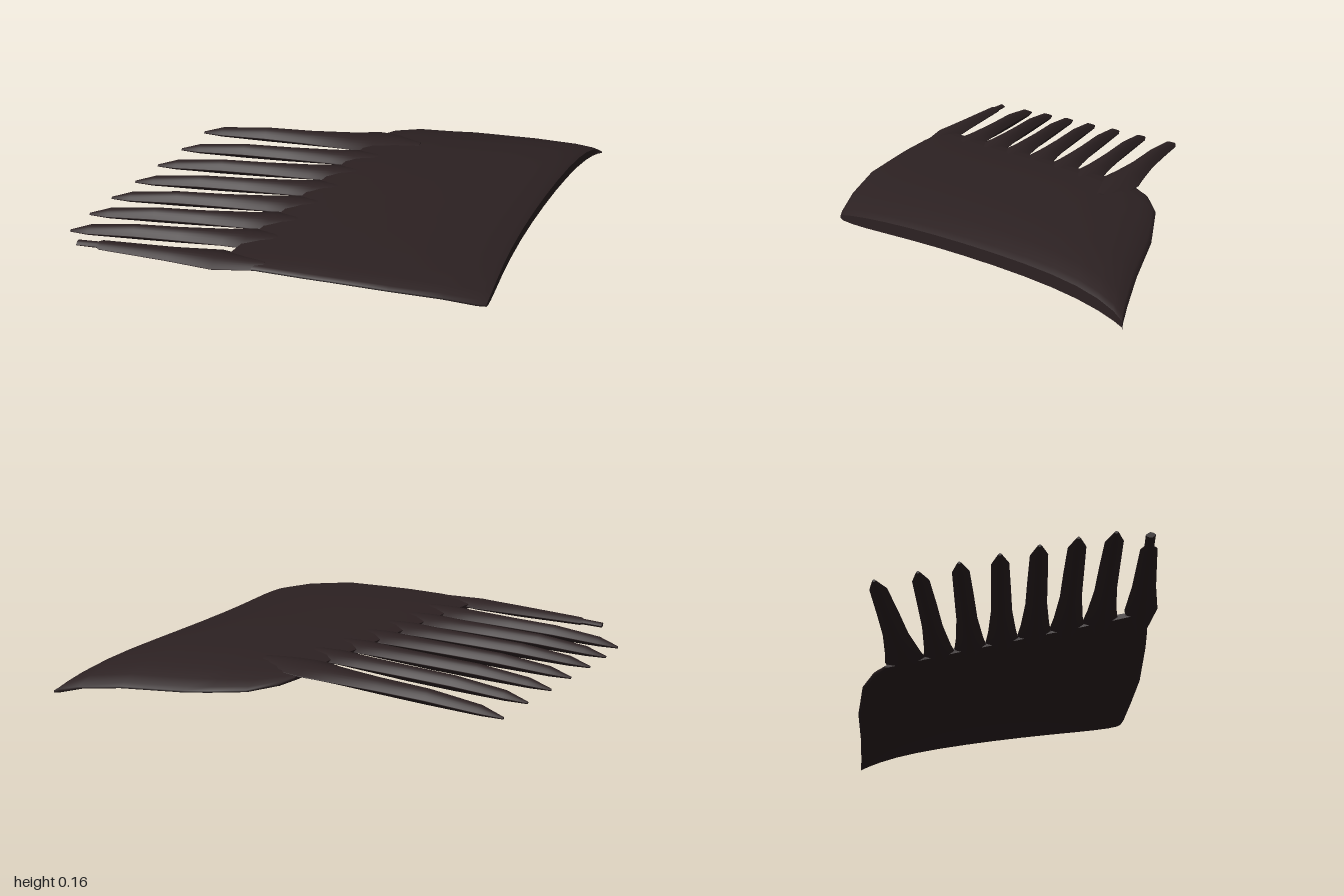
import * as THREE from 'three';

const M = 16; // points across the top (and the underside) of every ring

// closed ring: back edge to front edge over the top, then back underneath
function ring(point) {
  const top = [], under = [];
  for (let j = 0; j < M; j++) {
    const t = 0.5 - 0.5 * Math.cos((Math.PI * j) / (M - 1));
    const [x, y, z, h] = point(t);
    top.push([x, y + h, z]);
    under.unshift([x, y - h, z]);
  }
  return [...top, ...under];
}

// skin rings that run from -x to +x, with flat strips closing both ends
function loft(rings) {
  const n = 2 * M, pos = rings.flat(2), idx = [];
  for (let i = 0; i < rings.length - 1; i++)
    for (let j = 0; j < n; j++) {
      const a = i * n + j, b = i * n + ((j + 1) % n);
      idx.push(a, b, a + n, b, b + n, a + n);
    }
  [rings[0], rings[rings.length - 1]].forEach((r, end) => {
    const base = pos.length / 3;
    pos.push(...r.flat());
    for (let j = 0; j < M - 1; j++) {
      const q = [j, j + 1, n - 2 - j, n - 1 - j].map((k) => base + k);
      if (end === 0) q.reverse();
      idx.push(q[0], q[1], q[2], q[0], q[2], q[3]);
    }
  });
  const g = new THREE.BufferGeometry();
  g.setAttribute('position', new THREE.Float32BufferAttribute(pos, 3));
  g.setIndex(idx);
  g.computeVertexNormals();
  return g;
}

const lerp = THREE.MathUtils.lerp;

// spine plate stations: back x, back z, back y, front x, front z, front y, half thickness, inward bow
const PLATE = [
  [-0.11, -0.38, 0.128, -0.06, 0.785, 0.138, 0.008, 0],
  [-0.09, -0.45, 0.118, 0.0, 0.76, 0.141, 0.015, 0],
  [-0.02, -0.55, 0.1, 0.1, 0.725, 0.143, 0.02, 0],
  [0.1, -0.64, 0.085, 0.25, 0.665, 0.142, 0.021, 0],
  [0.18, -0.7, 0.078, 0.34, 0.625, 0.14, 0.021, 0],
  [0.42, -0.84, 0.06, 0.53, 0.54, 0.133, 0.022, 0.015],
  [0.58, -0.94, 0.036, 0.7, 0.435, 0.108, 0.024, 0.04],
  [0.65, -0.985, 0.017, 0.805, 0.36, 0.078, 0.027, 0.058],
  [0.67, -1.0, 0.008, 0.83, 0.335, 0.07, 0.02, 0.06],
];

function plateGeometry() {
  return loft(PLATE.map(([bx, bz, by, fx, fz, fy, half, bow]) => ring((t) => {
    const inward = bow * Math.pow(Math.sin(Math.PI * t), 0.4) * (1 - t ** 6);
    const y = lerp(fy, by, (1 - t) ** 8);
    const h = half * Math.sqrt(Math.max(0, 1 - Math.abs(2 * t - 1) ** 6)) + 0.004;
    return [lerp(bx, fx, t) - (inward || 0), y, lerp(bz, fz, t), h];
  })));
}

// tooth profile from tip to root: fraction of length, half width, half height, centre y
const TOOTH = [
  [0, 0.006, 0.004, 0.083], [0.09, 0.03, 0.02, 0.098], [0.3, 0.035, 0.031, 0.113],
  [0.5, 0.039, 0.031, 0.121], [0.7, 0.053, 0.027, 0.133], [0.8, 0.064, 0.023, 0.14],
  [0.9, 0.056, 0.021, 0.142], [1, 0.03, 0.015, 0.143],
];
// blunt end tooth
const END_TOOTH = [
  [0, 0.016, 0.01, 0.126], [0.11, 0.016, 0.012, 0.129], [0.13, 0.028, 0.016, 0.13],
  [0.5, 0.042, 0.023, 0.134], [0.75, 0.06, 0.022, 0.139], [1, 0.03, 0.015, 0.142],
];

function toothGeometry(profile, tip, root, widen) {
  return loft(profile.map(([f, w, h, y]) => {
    const cx = lerp(tip[0], root[0], f), cz = lerp(tip[1], root[1], f);
    const width = w * lerp(1, widen, Math.min(1, f * 1.5));
    // the ring leans with the tooth so that it stays square to its length
    return ring((t) => [cx + (2 * t - 1) * width * 0.35, y,
      cz + (2 * t - 1) * width, h * Math.sin(Math.PI * t) + 0.001]);
  }));
}

export function createModel() {
  const comb = new THREE.Group();
  comb.name = 'hairComb';
  const brown = new THREE.MeshStandardMaterial({ color: 0x2c2122 });
  brown.name = 'darkBrown';
  const add = (name, geometry) => {
    const mesh = new THREE.Mesh(geometry, brown);
    mesh.name = name;
    comb.add(mesh);
  };

  add('spinePlate', plateGeometry());

  // slanted teeth along the left edge of the plate
  const tips = [[-0.83, 0.02], [-0.81, 0.19], [-0.8, 0.35], [-0.785, 0.5],
    [-0.775, 0.645], [-0.76, 0.78], [-0.735, 0.905], [-0.6, 0.98]];
  tips.forEach((tip, i) => {
    const last = i === tips.length - 1;
    const root = i === 0 ? [0.09, -0.36] : last ? [0.09, 0.69] : [0.09, -0.345 + 0.143 * i];
    add(`tooth${i + 1}`, toothGeometry(last ? END_TOOTH : TOOTH, tip, root, i === 0 ? 1.35 : 1));
  });
  return comb;
}
